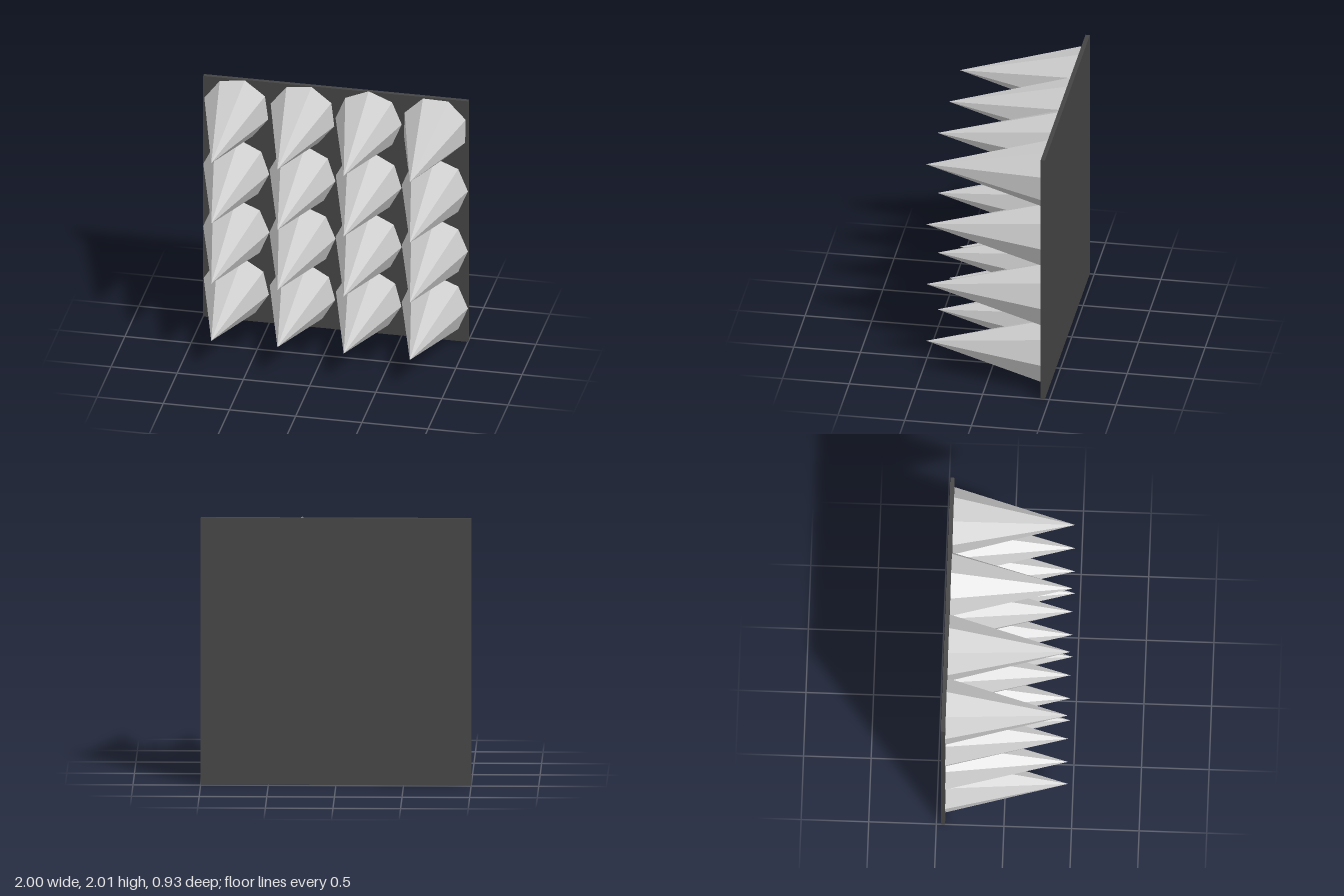
import * as THREE from 'three';

const PANEL_FRONT = -0.435, PANEL_BACK = -0.467, TIP = 0.465;

export function createModel() {
  const model = new THREE.Group();
  model.name = 'spikedPanel';
  const dark = new THREE.MeshStandardMaterial({ color: 0x444444, flatShading: true });
  const grey = new THREE.MeshStandardMaterial({ color: 0xcccccc, flatShading: true });

  // Thin square back panel
  const depth = PANEL_FRONT - PANEL_BACK;
  const panel = new THREE.Mesh(new THREE.BoxGeometry(2, 2, depth), dark);
  panel.name = 'backPanel';
  panel.position.set(0, 1, PANEL_BACK + depth / 2);
  model.add(panel);

  // Eight-sided spike pointing forward, base on the panel
  const length = TIP - PANEL_FRONT;
  const spikeGeometry = new THREE.ConeGeometry(0.25, length, 8).rotateX(Math.PI / 2);

  // Rows from top to bottom: height and the twist of each spike in degrees
  const rows = [
    { y: 1.755, twists: [30, 29, 0, 21] },
    { y: 1.252, twists: [-4, -5, -6, 0] },
    { y: 0.752, twists: [0, 0, -4, 0] },
    { y: 0.277, twists: [-10, -8, -8, 0] },
  ];
  rows.forEach(({ y, twists }, row) => {
    twists.forEach((twist, column) => {
      const spike = new THREE.Mesh(spikeGeometry, grey);
      spike.name = `spikeRow${row + 1}Column${column + 1}`;
      spike.position.set(-0.75 + column * 0.5, y, PANEL_FRONT + length / 2);
      spike.rotation.z = THREE.MathUtils.degToRad(twist);
      model.add(spike);
    });
  });
  return model;
}
